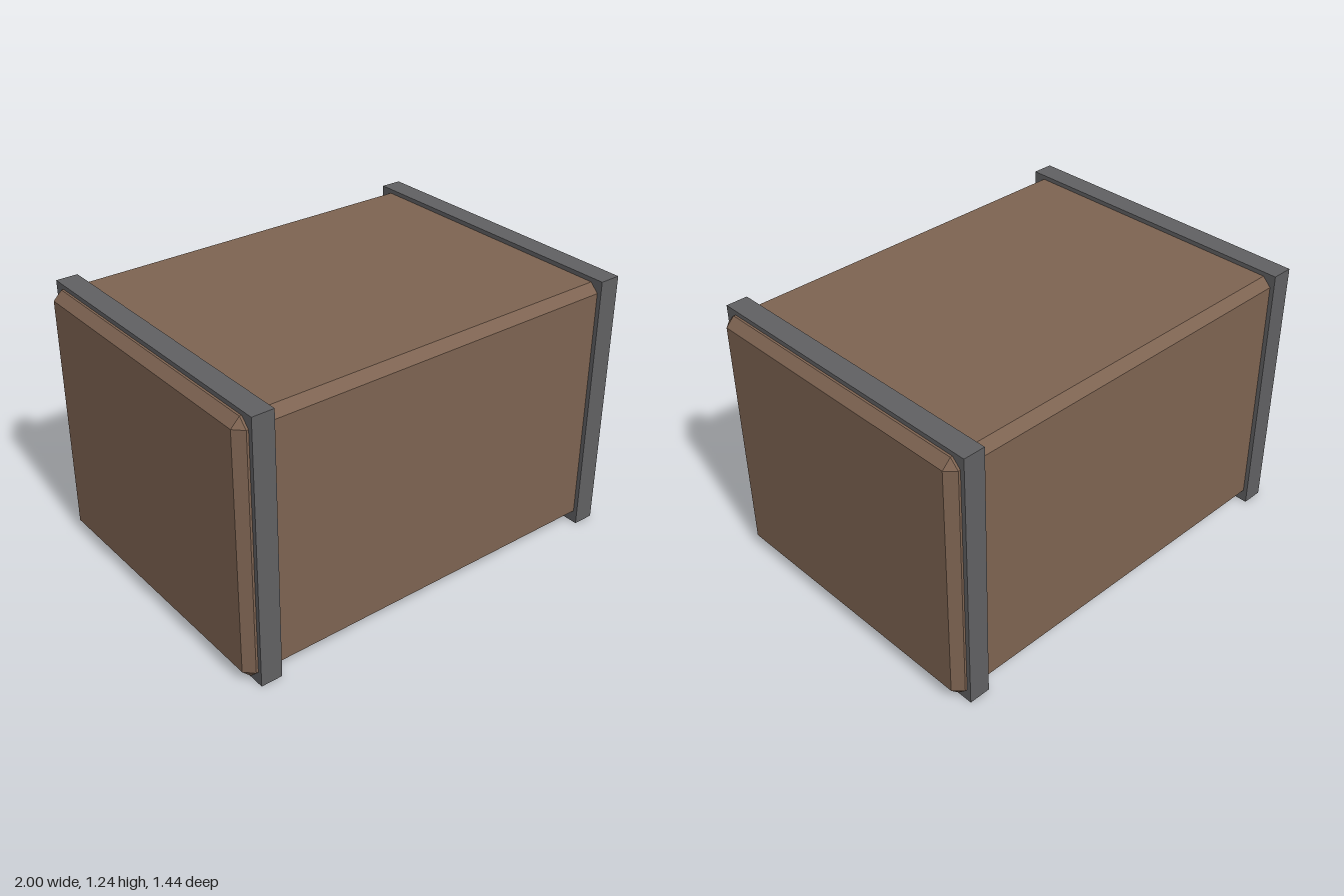
import * as THREE from 'three';
import { ConvexGeometry } from 'three/addons/geometries/ConvexGeometry.js';

// Box with flat chamfered edges and triangular corners
function chamferedBox(width, height, depth, chamfer) {
  const points = [];
  for (const sx of [-1, 1]) for (const sy of [-1, 1]) for (const sz of [-1, 1]) {
    for (let axis = 0; axis < 3; axis++) {
      const inset = [0, 1, 2].map((i) => (i === axis ? 0 : chamfer));
      points.push(new THREE.Vector3(
        sx * (width / 2 - inset[0]),
        sy * (height / 2 - inset[1]),
        sz * (depth / 2 - inset[2])));
    }
  }
  return new ConvexGeometry(points);
}

export function createModel() {
  const wood = new THREE.MeshStandardMaterial({ color: 0x7d6351 });
  wood.name = 'brown wood';
  const metal = new THREE.MeshStandardMaterial({ color: 0x606062 });
  metal.name = 'grey metal';

  const crate = new THREE.Group();
  crate.name = 'crate';

  // Crate body
  const body = new THREE.Mesh(chamferedBox(2, 1.2, 1.4, 0.04), wood);
  body.name = 'body';
  body.position.y = 0.62;
  crate.add(body);

  // Bands wrapped around both ends
  const bandGeometry = new THREE.BoxGeometry(0.1, 1.24, 1.44);
  for (const side of [-1, 1]) {
    const band = new THREE.Mesh(bandGeometry, metal);
    band.name = side > 0 ? 'leftBand' : 'rightBand';
    band.position.set(side * 0.9, 0.62, 0);
    crate.add(band);
  }
  return crate;
}
